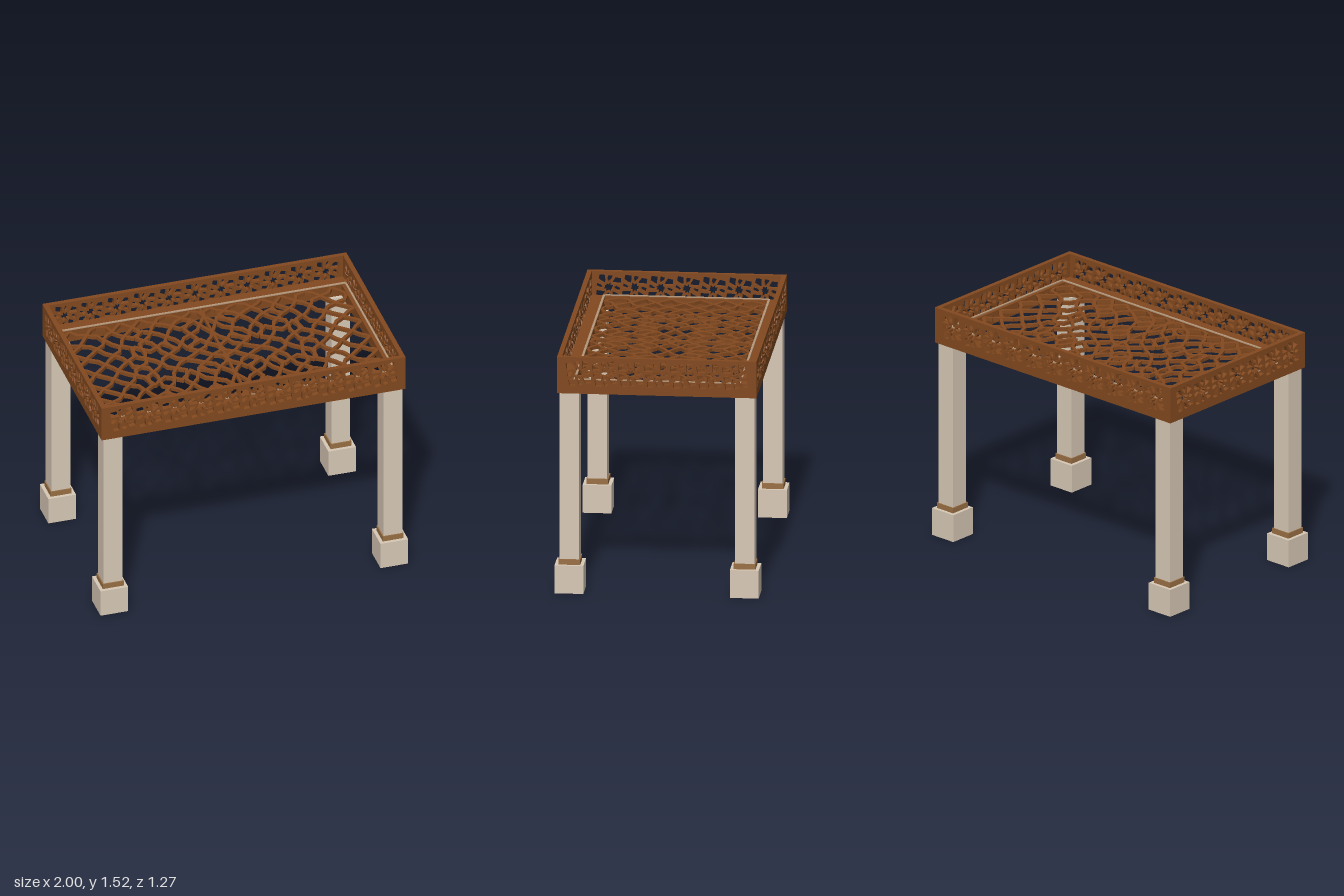
import * as THREE from 'three';
import { mergeGeometries } from 'three/addons/utils/BufferGeometryUtils.js';

const wood = new THREE.MeshStandardMaterial({ color: 0x82491f });
wood.name = 'carved wood';
const stone = new THREE.MeshStandardMaterial({ color: 0xd8c9b6 });
stone.name = 'pale stone';
const bronze = new THREE.MeshStandardMaterial({ color: 0x9a7044 });
bronze.name = 'bronze collar';
const trimColor = new THREE.MeshStandardMaterial({ color: 0xb4977a });
trimColor.name = 'pale trim';

function box(name, material, w, h, d, x, y, z) {
  const mesh = new THREE.Mesh(new THREE.BoxGeometry(w, h, d), material);
  mesh.name = name;
  mesh.position.set(x, y, z);
  return mesh;
}

function seeded(seed) {
  return () => {
    seed = (seed * 16807) % 2147483647;
    return seed / 2147483647 - 0.5;
  };
}

// Openings of one rosette cell, as polygons in a square from -1 to 1:
// an eight-pointed star ringed by eight twisted petals.
function rosette(twist, jitter, random) {
  const at = (r, a) => [r * Math.cos(a) + random() * jitter, r * Math.sin(a) + random() * jitter];
  const star = [];
  for (let i = 0; i < 16; i++) star.push(at(i % 2 ? 0.42 : 0.25, (i * Math.PI) / 8));
  const holes = [star];
  for (let k = 0; k < 8; k++) {
    const a = (k * Math.PI) / 4;
    const b = a + twist;
    const petal = [at(0.39, a), at(0.62, a + twist / 2 - 0.25)];
    if (k % 2) petal.push(at(0.95, b - 0.35), at(1.2, b), at(0.95, b + 0.35));
    else petal.push(at(0.9, b - 0.17), at(0.9, b + 0.17));
    petal.push(at(0.62, a + twist / 2 + 0.25));
    holes.push(petal);
  }
  return holes;
}

// Side wall pierced by a single row of rosettes
function wall(name, w, span, count) {
  const random = seeded(31);
  const step = span / count;
  const h = 0.235;
  const shape = new THREE.Shape([
    new THREE.Vector2(-w / 2, -h / 2), new THREE.Vector2(w / 2, -h / 2),
    new THREE.Vector2(w / 2, h / 2), new THREE.Vector2(-w / 2, h / 2),
  ]);
  for (let i = 0; i < count; i++) {
    const x = (i - (count - 1) / 2) * step;
    for (const hole of rosette(0.17, 0.06, random)) {
      shape.holes.push(new THREE.Path(hole.map(
        ([u, v]) => new THREE.Vector2(x + (u * step) / 2, 0.014 + v * 0.085))));
    }
  }
  const geometry = new THREE.ExtrudeGeometry(shape, { depth: 0.03, bevelEnabled: false });
  const mesh = new THREE.Mesh(geometry, wood);
  mesh.name = name;
  return mesh;
}

// Part of a convex polygon nearer to point a than to point b
function clipNearer(poly, a, b) {
  const normal = b.clone().sub(a);
  const limit = normal.dot(a.clone().add(b).multiplyScalar(0.5));
  const out = [];
  poly.forEach((p, i) => {
    const q = poly[(i + 1) % poly.length];
    const dp = normal.dot(p) - limit;
    const dq = normal.dot(q) - limit;
    if (dp <= 0) out.push(p);
    if (dp * dq < 0) out.push(p.clone().lerp(q, dp / (dp - dq)));
  });
  return out;
}

// Floor strapwork: irregular cells, each holding a star whose tips touch
// the middles of the cell edges; one quadrant mirrored about both axes
function floorLattice(w, d) {
  const random = seeded(77);
  const nx = 6, nz = 3;
  const sites = [];
  for (let i = 0; i < nx; i++) {
    for (let j = 0; j < nz; j++) {
      sites.push(new THREE.Vector2(
        ((i + 0.5 + random() * 0.5) * w) / nx,
        ((j + 0.5 + random() * 0.5) * d) / nz));
    }
  }
  const bars = [];
  const addBar = (a, b) => {
    for (const mx of [1, -1]) {
      for (const mz of [1, -1]) {
        const dx = (b.x - a.x) * mx, dz = (b.y - a.y) * mz;
        const bar = new THREE.BoxGeometry(Math.hypot(dx, dz) + 0.012, 0.022, 0.021);
        bar.rotateY(Math.atan2(-dz, dx));
        bar.translate((mx * (a.x + b.x)) / 2, 0, (mz * (a.y + b.y)) / 2);
        bars.push(bar);
      }
    }
  };
  for (const site of sites) {
    let cell = [[0, 0], [w, 0], [w, d], [0, d]].map(([x, z]) => new THREE.Vector2(x, z));
    for (const other of sites) if (other !== site) cell = clipNearer(cell, site, other);
    cell = cell.filter((p, i) => p.distanceTo(cell[(i + 1) % cell.length]) > 0.03);
    cell.forEach((corner, i) => {
      const n = cell.length;
      const before = cell[(i + n - 1) % n].clone().lerp(corner, 0.5);
      const after = cell[(i + 1) % n].clone().lerp(corner, 0.5);
      const inner = site.clone().lerp(corner, 0.52);
      addBar(before, inner);
      addBar(inner, after);
    });
  }
  const mesh = new THREE.Mesh(mergeGeometries(bars), wood);
  mesh.name = 'floorLattice';
  return mesh;
}

export function createModel() {
  const model = new THREE.Group();
  model.name = 'latticeTable';

  // Four stone legs with collars and square bases
  for (const sx of [1, -1]) {
    for (const sz of [1, -1]) {
      const leg = new THREE.Group();
      leg.name = (sz > 0 ? 'front' : 'back') + (sx > 0 ? 'Left' : 'Right') + 'Leg';
      leg.add(
        box('base', stone, 0.18, 0.18, 0.18, 0, 0.09, 0),
        box('collar', bronze, 0.136, 0.035, 0.136, 0, 0.1975, 0),
        box('shaft', stone, 0.122, 1.075, 0.122, 0, 0.7525, 0),
      );
      leg.position.set(sx * 0.91, 0, sz * 0.547);
      model.add(leg);
    }
  }

  // Carved tray walls, thickness growing outward
  const midY = 1.4075;
  for (const s of [1, -1]) {
    const long = wall(s > 0 ? 'frontWall' : 'backWall', 1.976, 1.87, 11);
    long.rotation.y = s > 0 ? 0 : Math.PI;
    long.position.set(0, midY, s * 0.592);
    const short = wall(s > 0 ? 'leftWall' : 'rightWall', 1.184, 1.14, 7);
    short.rotation.y = (s * Math.PI) / 2;
    short.position.set(s * 0.958, midY, 0);
    model.add(long, short);
  }

  // Beams around the floor, with a thin pale trim on their inner edge
  for (const s of [1, -1]) {
    model.add(
      box('longBeam', wood, 1.916, 0.08, 0.086, 0, 1.331, s * 0.549),
      box('shortBeam', wood, 0.036, 0.08, 1.012, s * 0.94, 1.331, 0),
      box('longTrim', trimColor, 1.9, 0.006, 0.014, 0, 1.374, s * 0.515),
      box('shortTrim', trimColor, 0.012, 0.006, 1.016, s * 0.95, 1.374, 0),
    );
  }

  // Pierced floor with a rib across the middle
  const floor = floorLattice(0.924, 0.506);
  floor.position.y = 1.355;
  model.add(floor, box('middleRib', wood, 0.016, 0.022, 1.012, 0, 1.355, 0));

  return model;
}
